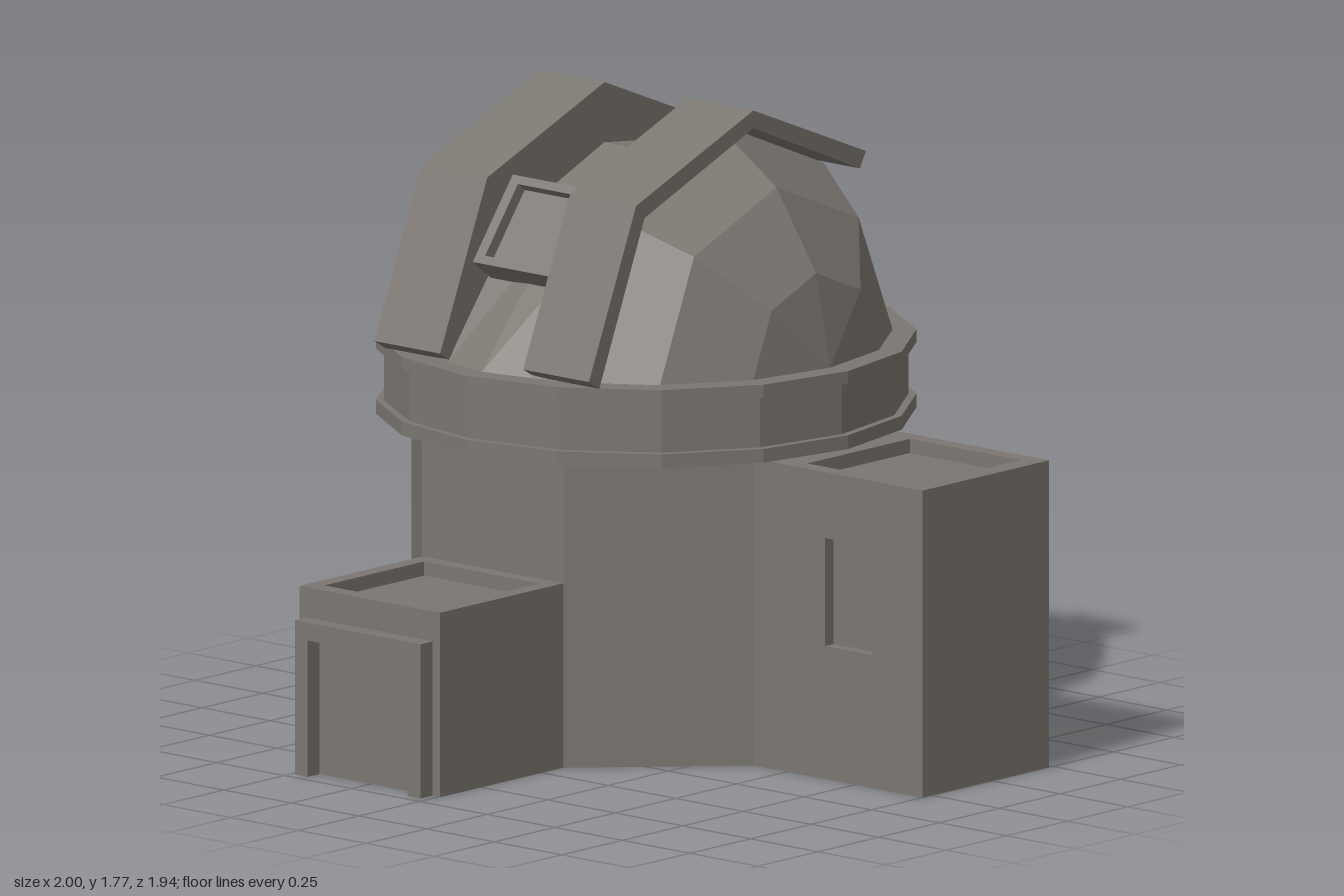
import * as THREE from 'three';

const stone = new THREE.MeshStandardMaterial({ color: 0x7b7670, side: THREE.DoubleSide });
stone.name = 'warm grey stone';

function mesh(geometry, name) {
  const flat = geometry.index ? geometry.toNonIndexed() : geometry;
  flat.computeVertexNormals();
  const m = new THREE.Mesh(flat, stone);
  m.name = name;
  return m;
}

function rectangle(x, y, w, h, Type = THREE.Shape) {
  const r = new Type();
  r.moveTo(x, y).lineTo(x + w, y).lineTo(x + w, y + h).lineTo(x, y + h).closePath();
  return r;
}

// Wall or roof panel facing +z, with an optional sunken rectangle [x, y, w, h]
function panel(name, w, h, hole, depth = 0.035) {
  const g = new THREE.Group();
  g.name = name;
  const shape = rectangle(0, 0, w, h);
  if (hole) {
    const [x, y, hw, hh] = hole;
    shape.holes.push(rectangle(x, y, hw, hh, THREE.Path));
    const niche = new THREE.BoxGeometry(hw, hh, depth);
    const faces = Array.from(niche.index.array);
    faces.splice(24, 6); // leave the outer side open
    niche.setIndex(faces);
    niche.translate(x + hw / 2, y + hh / 2, -depth / 2);
    g.add(mesh(niche, name + 'Recess'));
  }
  g.add(mesh(new THREE.ShapeGeometry(shape), name + 'Face'));
  return g;
}

// Flat-roofed annex: grows from z = 0 to z = d, open underneath
function annex(name, w, d, h, roofHole, windowHole) {
  const g = new THREE.Group();
  g.name = name;
  const front = panel('frontWall', w, h);
  front.position.set(-w / 2, 0, d);
  const sideA = panel('windowSideWall', d, h, windowHole);
  sideA.rotation.y = -Math.PI / 2;
  sideA.position.set(-w / 2, 0, 0);
  const sideB = panel('plainSideWall', d, h);
  sideB.rotation.y = Math.PI / 2;
  sideB.position.set(w / 2, 0, d);
  const roof = panel('roof', w, d, roofHole, 0.04);
  roof.rotation.x = -Math.PI / 2;
  roof.position.set(-w / 2, h, d);
  g.add(front, sideA, sideB, roof);
  return g;
}

// Faceted dome with poles along x and a sunken slot across the middle
function domeGeometry() {
  const arc = r => [0, 1, 2, 3, 4].map(i => [r * Math.cos(i * Math.PI / 4), r * Math.sin(i * Math.PI / 4)]);
  const slot = r => [[r, 0], [0.364, 0.364], [0, 0.515], [-0.459, 0.459], [-r, 0]];
  const side = [[0.68, 0], [0.628, 0.26], [0.481, 0.481], [0.26, 0.628], [0.155, 0.649]];
  const columns = [
    ...side.map(([x, r]) => [-x, arc(r)]),
    [-0.155, slot(0.649)], [0, slot(0.68)], [0.155, slot(0.649)],
    ...side.slice().reverse().map(([x, r]) => [x, arc(r)]),
  ];
  const pos = [], index = [];
  for (const [x, profile] of columns) for (const [z, y] of profile) pos.push(x, y, z);
  for (let c = 0; c < columns.length - 1; c++) {
    for (let i = 0; i < 4; i++) {
      const a = c * 5 + i, b = a + 5;
      index.push(a, b, b + 1, a, b + 1, a + 1);
    }
  }
  const g = new THREE.BufferGeometry();
  g.setAttribute('position', new THREE.Float32BufferAttribute(pos, 3));
  g.setIndex(index);
  return g;
}

// Bent shutter slab, profile drawn in (z, y) and extruded along x
function shutterGeometry(width) {
  const points = [[0.68, 0.03], [0.485, 0.495], [0, 0.685], [-0.465, 0.495],
    [-0.44, 0.45], [0, 0.635], [0.45, 0.455], [0.637, 0.004]];
  const shape = new THREE.Shape(points.map(([z, y]) => new THREE.Vector2(-z, y)));
  const g = new THREE.ExtrudeGeometry(shape, { depth: width, bevelEnabled: false });
  g.translate(0, 0, -width / 2);
  g.rotateY(Math.PI / 2);
  return g;
}

export function createModel() {
  const model = new THREE.Group();
  model.name = 'observatory';
  const tower = new THREE.Group();
  tower.name = 'tower';
  tower.position.set(-0.255, 0, -0.2225);
  model.add(tower);

  // Eight-sided drum with a window in the back wall
  const apothem = 0.633, half = apothem * Math.tan(Math.PI / 8), wallTop = 0.866;
  for (let i = 0; i < 8; i++) {
    const bay = new THREE.Group();
    bay.name = 'drumBay';
    bay.rotation.y = i * Math.PI / 4;
    const wall = panel('drumWall', half * 2, wallTop, i === 4 ? [half - 0.1, 0.27, 0.2, 0.33] : null);
    wall.position.set(-half, 0, apothem);
    bay.add(wall);
    tower.add(bay);
  }

  // Stepped ring under the dome
  for (const [name, r, y0, y1] of [['lowerRim', 0.746, 0.866, 0.905],
    ['ringBand', 0.724, 0.905, 1.05], ['upperRim', 0.746, 1.05, 1.086]]) {
    const ring = mesh(new THREE.CylinderGeometry(r, r, y1 - y0, 16), name);
    ring.position.y = (y0 + y1) / 2;
    tower.add(ring);
  }

  // Dome and its pair of shutters
  const domeTop = new THREE.Group();
  domeTop.name = 'domeAssembly';
  domeTop.position.y = 1.085;
  domeTop.add(mesh(domeGeometry(), 'dome'));
  for (const s of [-1, 1]) {
    const shutter = mesh(shutterGeometry(0.243), 'shutter');
    shutter.position.x = s * 0.275;
    domeTop.add(shutter);
  }
  tower.add(domeTop);

  // Tilted hatch in the slot
  const hatch = new THREE.Group();
  hatch.name = 'hatch';
  const frame = rectangle(-0.1425, -0.1375, 0.285, 0.275);
  frame.holes.push(rectangle(-0.11, -0.1125, 0.22, 0.225, THREE.Path));
  const frameGeo = new THREE.ExtrudeGeometry(frame, { depth: 0.16, bevelEnabled: false });
  frameGeo.translate(0, 0, -0.16);
  const pane = mesh(new THREE.BoxGeometry(0.22, 0.225, 0.01), 'hatchPane');
  pane.position.z = -0.04;
  hatch.add(mesh(frameGeo, 'hatchFrame'), pane);
  hatch.rotation.x = -0.645;
  hatch.position.set(0, 1.465, 0.475);
  tower.add(hatch);

  // Entrance porch with a raised door surround
  const porch = annex('porch', 0.52, 0.51, 0.52, [0.047, 0.05, 0.426, 0.413]);
  porch.position.set(-0.255, 0, 0.41);
  const surround = new THREE.Shape([[-0.232, 0], [-0.185, 0], [-0.185, 0.385], [0.185, 0.385],
    [0.185, 0], [0.232, 0], [0.232, 0.435], [-0.232, 0.435]].map(p => new THREE.Vector2(...p)));
  const door = mesh(new THREE.ExtrudeGeometry(surround, { depth: 0.05, bevelEnabled: false }), 'doorSurround');
  door.position.z = 0.51;
  porch.add(door);
  model.add(porch);

  // Side wing with a front window
  const wing = annex('sideWing', 0.524, 0.622, wallTop, [0.05, 0.06, 0.424, 0.41], [0.262, 0.375, 0.175, 0.305]);
  wing.rotation.y = Math.PI / 2;
  wing.position.set(0.378, 0, -0.2225);
  model.add(wing);

  return model;
}
